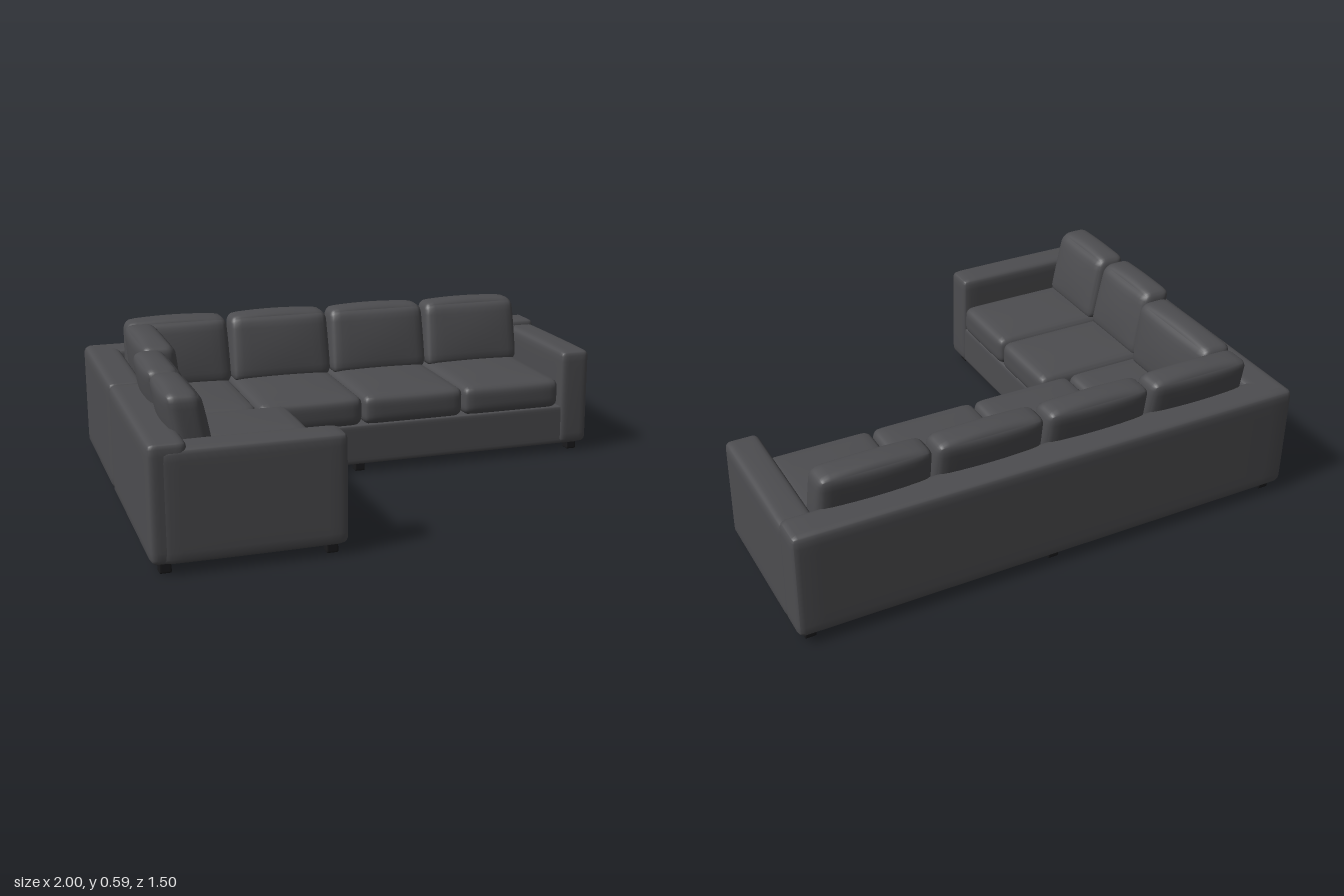
import * as THREE from 'three';
import { mergeVertices } from 'three/addons/utils/BufferGeometryUtils.js';

// Rounded, optionally puffed block. bulge = [x, y, z] outward swelling,
// lean shifts the top backwards (-z), taper narrows the top.
function softBlock(w, h, d, r, { bulge = [0, 0, 0], lean = 0, taper = 0 } = {}) {
  const geo = new THREE.BoxGeometry(2, 2, 2, 14, 14, 14);
  geo.deleteAttribute('normal');
  geo.deleteAttribute('uv');
  const merged = mergeVertices(geo, 1e-4);
  const half = new THREE.Vector3(w / 2, h / 2, d / 2);
  const limit = half.clone().subScalar(r);
  const lower = limit.clone().negate();
  const pos = merged.attributes.position;
  const p = new THREE.Vector3();
  const core = new THREE.Vector3();
  for (let i = 0; i < pos.count; i++) {
    p.fromBufferAttribute(pos, i);
    // crowd the grid towards the edges, then round them
    const [u, v, s] = p.toArray().map((t) => Math.sin((t * Math.PI) / 2));
    p.set(u, v, s).multiply(half);
    core.copy(p).clamp(lower, limit);
    p.sub(core).setLength(r).add(core);
    p.x += bulge[0] * u * (1 - v * v) * (1 - s * s);
    p.y += bulge[1] * v * (1 - u * u) * (1 - s * s);
    p.z += bulge[2] * s * (1 - u * u) * (1 - v * v);
    p.x *= 1 - taper * (v + 1) * 0.5;
    p.z -= lean * v * 0.5;
    pos.setXYZ(i, p.x, p.y, p.z);
  }
  merged.computeVertexNormals();
  return merged;
}

export function createModel() {
  const model = new THREE.Group();
  model.name = 'cornerSofa';
  const fabric = new THREE.MeshStandardMaterial({ color: 0x4d4d50 });
  fabric.name = 'charcoalFabric';
  const dark = new THREE.MeshStandardMaterial({ color: 0x1b1b1d });
  dark.name = 'blackLeg';

  const mainSection = new THREE.Group();
  mainSection.name = 'mainSection';
  const sideSection = new THREE.Group();
  sideSection.name = 'sideSection';
  model.add(mainSection, sideSection);

  // Block placed by its x, y and z ranges
  function block(parent, name, [x0, x1], [y0, y1], [z0, z1], r, options, material = fabric) {
    const mesh = new THREE.Mesh(softBlock(x1 - x0, y1 - y0, z1 - z0, r, options), material);
    mesh.position.set((x0 + x1) / 2, (y0 + y1) / 2, (z0 + z1) / 2);
    mesh.name = name;
    parent.add(mesh);
  }

  // Leaning cushion; turn = PI / 2 makes it face +x
  function backCushion(parent, name, x, z, width, turn, lean, depth = 0.125) {
    const geo = softBlock(width, 0.27, depth, 0.035,
      { bulge: [0.003, 0.012, 0.012], lean, taper: 0.03 });
    const mesh = new THREE.Mesh(geo, fabric);
    mesh.position.set(x, 0.44, z);
    mesh.rotation.y = turn;
    mesh.name = name;
    parent.add(mesh);
  }

  const bottom = 0.035;
  const seatY = [0.195, 0.318];
  const seatPuff = { bulge: [0.002, 0.008, 0.004] };

  // Main section frame
  block(mainSection, 'mainBase', [-0.98, 0.98], [bottom, 0.2], [-0.73, -0.075], 0.012);
  block(mainSection, 'mainBack', [-0.998, 0.998], [bottom, 0.455], [-0.748, -0.612], 0.028);
  block(mainSection, 'cornerSideBack', [-0.998, -0.86], [bottom, 0.455], [-0.74, -0.07], 0.028);
  block(mainSection, 'leftArm', [0.87, 0.998], [bottom, 0.432], [-0.64, -0.068], 0.025,
    { bulge: [0.001, 0.004, 0.002] });

  // Main seats and back cushions
  for (let i = 0; i < 4; i++) {
    const x0 = -0.852 + i * 0.43;
    block(mainSection, 'mainSeat' + (i + 1), [x0, x0 + 0.426], seatY, [-0.62, -0.066], 0.035, seatPuff);
    backCushion(mainSection, 'mainBackCushion' + (i + 1), x0 + 0.213, -0.57, 0.426, 0, 0.05);
  }
  backCushion(mainSection, 'cornerCushion', -0.785, -0.31, 0.46, Math.PI / 2, 0.025, 0.13);

  // Side section frame
  block(sideSection, 'sideBase', [-0.98, -0.325], [bottom, 0.2], [-0.066, 0.73], 0.012);
  block(sideSection, 'sideBack', [-0.998, -0.86], [bottom, 0.455], [-0.066, 0.745], 0.028);
  block(sideSection, 'rightArm', [-0.96, -0.318], [bottom, 0.432], [0.622, 0.748], 0.025,
    { bulge: [0.002, 0.004, 0.001] });

  // Side seats and back cushions
  for (let i = 0; i < 2; i++) {
    const z0 = -0.064 + i * 0.344;
    block(sideSection, 'sideSeat' + (i + 1), [-0.88, -0.312], seatY, [z0, z0 + 0.34], 0.035, seatPuff);
    backCushion(sideSection, 'sideBackCushion' + (i + 1), -0.822, z0 + 0.17, 0.338, Math.PI / 2, 0.05);
  }

  // Legs
  function leg(parent, x, z) {
    block(parent, 'leg', [x - 0.021, x + 0.021], [0, bottom + 0.01], [z - 0.021, z + 0.021], 0.005, {}, dark);
  }
  for (const x of [-0.945, 0, 0.945]) for (const z of [-0.69, -0.12]) leg(mainSection, x, z);
  for (const x of [-0.945, -0.37]) for (const z of [-0.018, 0.698]) leg(sideSection, x, z);

  return model;
}
